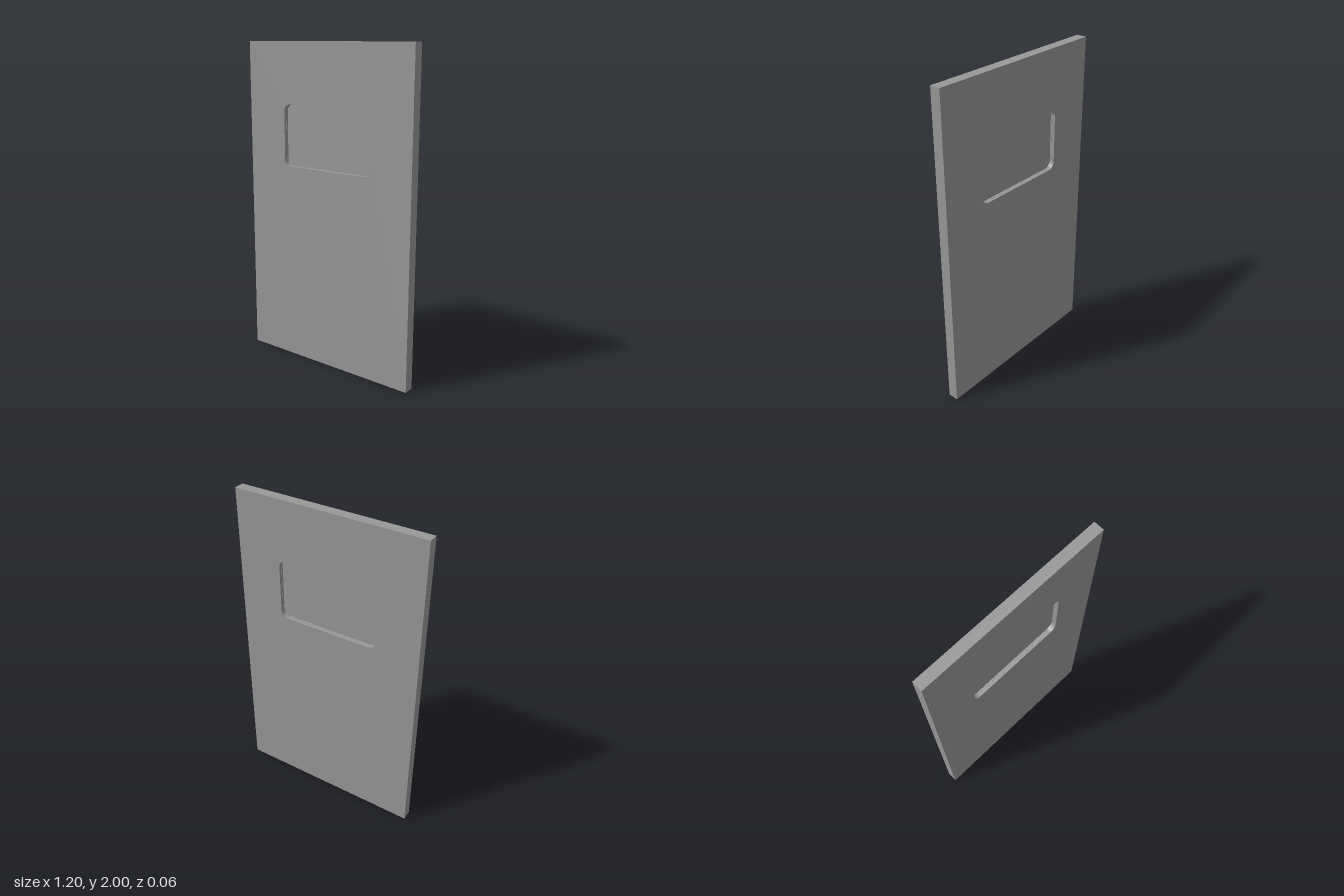
import * as THREE from 'three';

const W = 1.2, H = 2, D = 0.064;
const PANE_D = 0.004, SEAL_D = 0.026, SEAL_T = 0.001;
const win = { x: -0.32, y: 1.247, w: 0.64, h: 0.38, r: 0.045 };
const material = new THREE.MeshStandardMaterial({ color: 0x989898 });

// Traces the rounded window outline on a Path or Shape, optionally inset
function windowOutline(path, inset = 0) {
  const x0 = win.x + inset, x1 = win.x + win.w - inset;
  const y0 = win.y + inset, y1 = win.y + win.h - inset;
  const r = win.r - inset;
  path.moveTo(x0 + r, y0);
  path.absarc(x1 - r, y0 + r, r, -Math.PI / 2, 0);
  path.absarc(x1 - r, y1 - r, r, 0, Math.PI / 2);
  path.absarc(x0 + r, y1 - r, r, Math.PI / 2, Math.PI);
  path.absarc(x0 + r, y0 + r, r, Math.PI, Math.PI * 1.5);
  return path;
}

// Extrudes a shape so that it is centred on z = 0
function slab(name, shape, depth) {
  const geometry = new THREE.ExtrudeGeometry(shape, { depth, bevelEnabled: false, curveSegments: 10 });
  const mesh = new THREE.Mesh(geometry.translate(0, 0, -depth / 2), material);
  mesh.name = name;
  return mesh;
}

export function createModel() {
  const group = new THREE.Group();
  group.name = 'door';

  // Door leaf with a rounded window opening
  const leaf = new THREE.Shape();
  leaf.moveTo(-W / 2, 0);
  leaf.lineTo(W / 2, 0);
  leaf.lineTo(W / 2, H);
  leaf.lineTo(-W / 2, H);
  leaf.closePath();
  leaf.holes.push(windowOutline(new THREE.Path()));
  group.add(slab('doorLeaf', leaf, D));

  // Thin seal lining the middle of the opening
  const seal = windowOutline(new THREE.Shape());
  seal.holes.push(windowOutline(new THREE.Path(), SEAL_T));
  group.add(slab('windowSeal', seal, SEAL_D));

  // Solid pane set back equally from both sides, held by the seal
  group.add(slab('windowPane', windowOutline(new THREE.Shape(), SEAL_T), PANE_D));

  return group;
}
